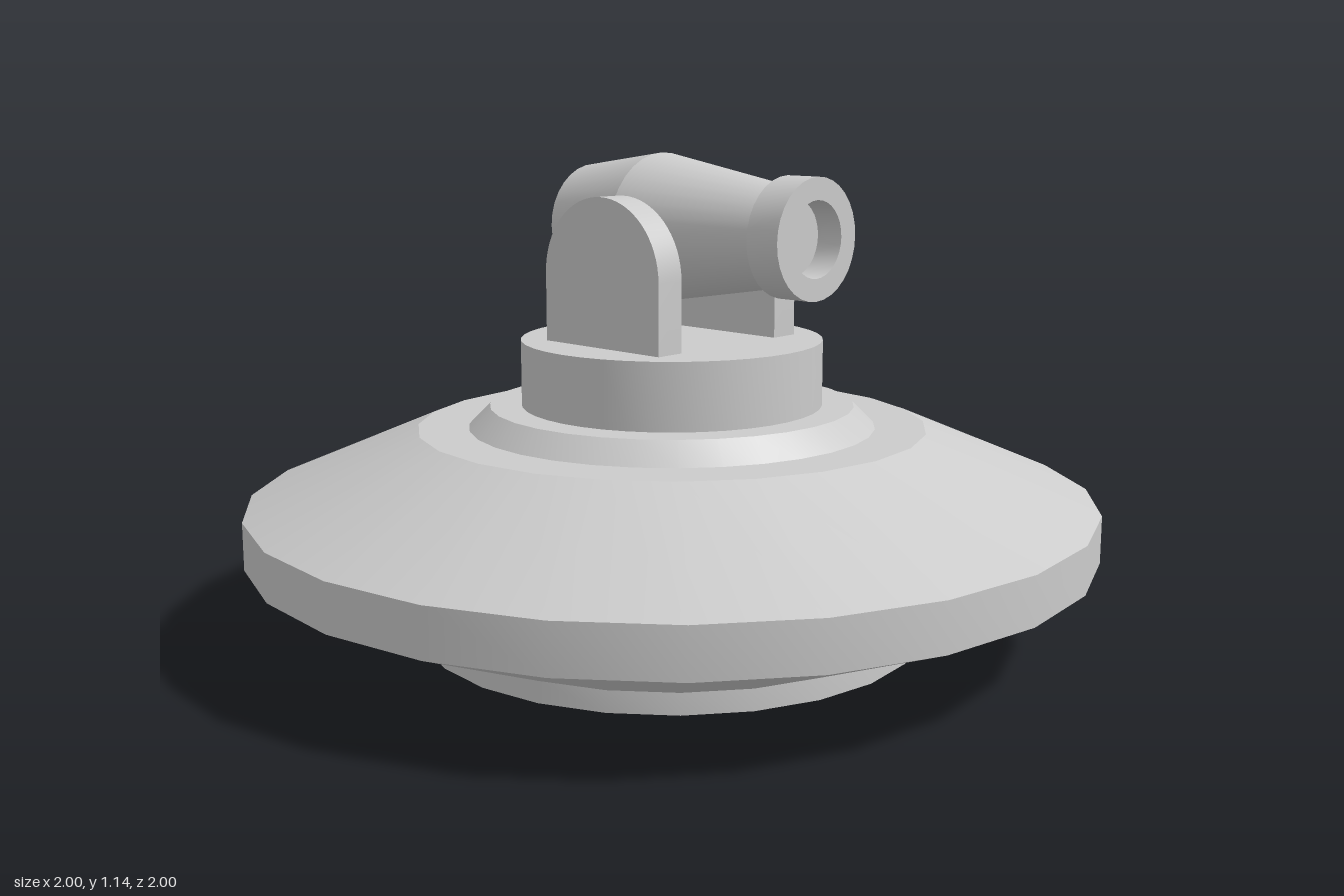
import * as THREE from 'three';
import { toCreasedNormals } from 'three/addons/utils/BufferGeometryUtils.js';

const material = new THREE.MeshStandardMaterial({ color: 0xcccccc });

function addMesh(parent, name, geometry) {
  const mesh = new THREE.Mesh(geometry, material);
  mesh.name = name;
  parent.add(mesh);
  return mesh;
}

// Turned part from [radius, height] pairs, listed bottom to top along the outside
function turned(profile, sides, crease) {
  const points = profile.map(([r, h]) => new THREE.Vector2(r, h));
  return toCreasedNormals(new THREE.LatheGeometry(points, sides), crease);
}

export function createModel() {
  const model = new THREE.Group();
  model.name = 'turret';

  // Wide saucer with a short foot
  addMesh(model, 'saucerBase', turned(
    [[0, 0], [0.6, 0], [0.6, 0.05], [1, 0.22], [1, 0.33], [0.6, 0.5], [0, 0.5]], 24, 0.33));

  // Bevelled ring and rotating drum
  addMesh(model, 'bevelRing', turned([[0.48, 0.5], [0.43, 0.55], [0, 0.55]], 32, 0.33));
  addMesh(model, 'drum', turned([[0.355, 0.55], [0.355, 0.705], [0, 0.705]], 40, 0.33));

  // Round-topped brackets on both sides of the barrel
  const outline = new THREE.Shape();
  outline.moveTo(-0.18, 0.705);
  outline.lineTo(0.18, 0.705);
  outline.lineTo(0.18, 0.865);
  outline.absarc(0, 0.865, 0.18, 0, Math.PI, false);
  outline.closePath();
  const bracket = toCreasedNormals(new THREE.ExtrudeGeometry(outline,
    { depth: 0.073, bevelEnabled: false, curveSegments: 16 }), 0.5);
  bracket.rotateY(Math.PI / 2);
  for (const [name, x] of [['leftBracket', 0.16], ['rightBracket', -0.233]]) {
    addMesh(model, name, bracket).position.x = x;
  }

  // Barrel: bulging body and a hollow muzzle, turned about the z axis
  const barrel = new THREE.Group();
  barrel.name = 'barrel';
  barrel.position.y = 0.962;
  barrel.rotation.x = Math.PI / 2;
  model.add(barrel);
  addMesh(barrel, 'barrelBody', turned(
    [[0, -0.26], [0.14, -0.26], [0.174, -0.03], [0.11, 0.35]], 32, 0.25));
  addMesh(barrel, 'muzzle', turned(
    [[0, 0.345], [0.135, 0.345], [0.135, 0.43], [0.085, 0.43], [0.085, 0.365], [0, 0.365]], 32, 0.33));

  return model;
}
